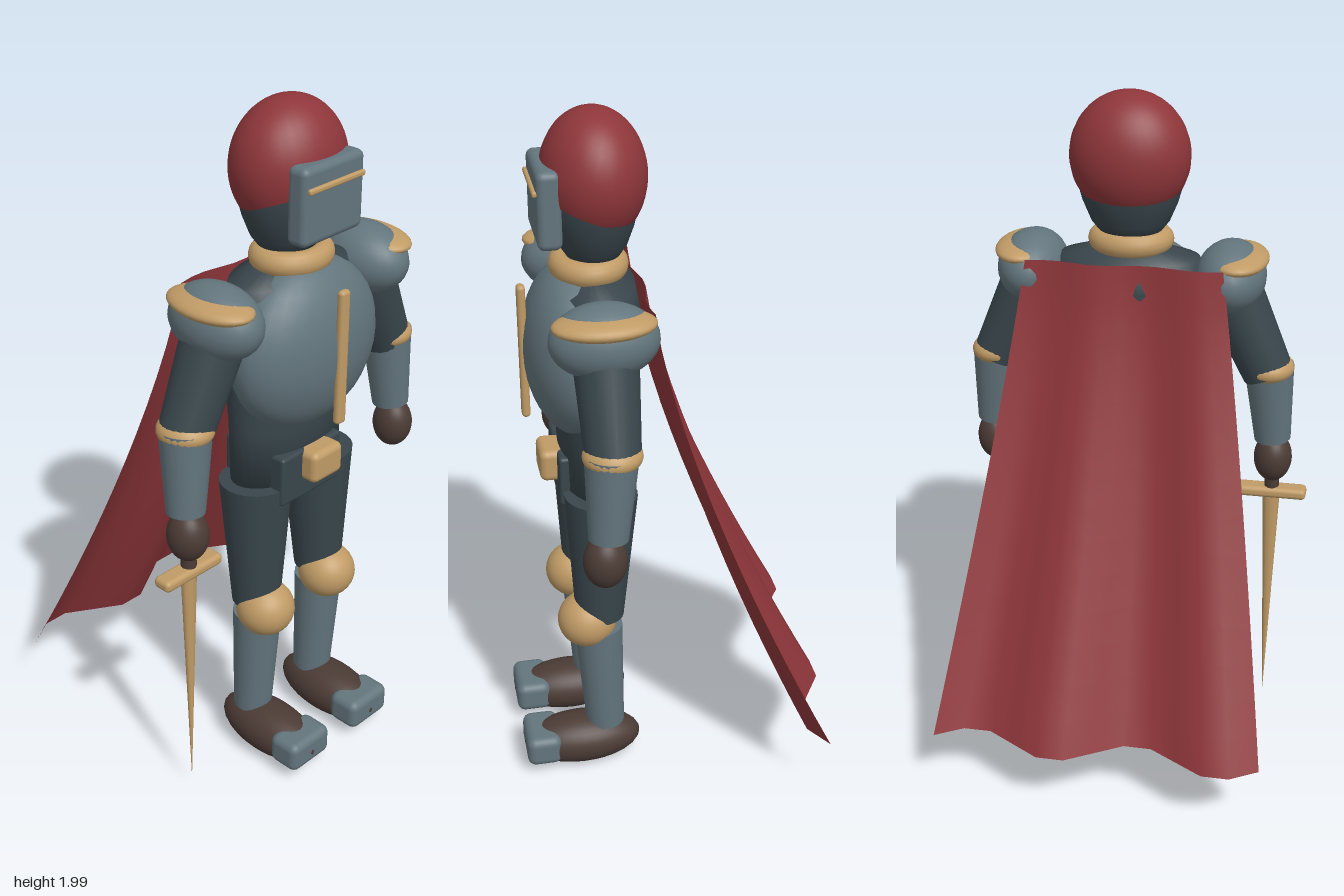
import * as THREE from 'three';
import { RoundedBoxGeometry } from 'three/addons/geometries/RoundedBoxGeometry.js';

const mat = (name, color, side = THREE.FrontSide) => {
  const m = new THREE.MeshStandardMaterial({ color, side });
  m.name = name;
  return m;
};

const CX = 0.0225; // body centre line
const CZ = 0.2;

export function createModel() {
  const steel = mat('steel', 0x63757d);
  const dark = mat('darkSteel', 0x39464c);
  const gold = mat('gold', 0xc09b66);
  const leather = mat('leather', 0x4b3b35);
  const red = mat('redCloth', 0x8e363a, THREE.DoubleSide);

  const model = new THREE.Group();
  model.name = 'knight';

  const add = (name, geometry, material, x, y, z) => {
    const mesh = new THREE.Mesh(geometry, material);
    mesh.name = name;
    mesh.position.set(x, y, z);
    model.add(mesh);
    return mesh;
  };
  const ball = (name, material, p, r) =>
    add(name, new THREE.SphereGeometry(1, 28, 18).scale(...r), material, ...p);
  const box = (name, material, p, s, radius) =>
    add(name, new RoundedBoxGeometry(...s, 3, radius), material, ...p);
  // Tapered limb running from point a (radius ra) down to point b (radius rb)
  const limb = (name, material, a, b, ra, rb) => {
    const from = new THREE.Vector3(...a), to = new THREE.Vector3(...b);
    const dir = from.clone().sub(to);
    const mid = from.clone().add(to).multiplyScalar(0.5);
    const mesh = add(name, new THREE.CylinderGeometry(ra, rb, dir.length(), 24), material, mid.x, mid.y, mid.z);
    mesh.quaternion.setFromUnitVectors(new THREE.Vector3(0, 1, 0), dir.normalize());
    return mesh;
  };
  const lathe = (name, material, profile, depth, z) =>
    add(name, new THREE.LatheGeometry(profile.map(([r, y]) => new THREE.Vector2(r, y)), 32).scale(1, 1, depth),
      material, CX, 0, z);

  // Torso, hips and chest armour
  lathe('torso', dark, [[0, 0.92], [0.192, 0.92], [0.198, 1.1], [0.215, 1.3], [0.225, 1.45],
    [0.2, 1.53], [0.1, 1.56], [0, 1.56]], 0.56, 0.19);
  box('hips', dark, [CX - 0.018, 0.96, 0.2], [0.24, 0.15, 0.22], 0.01);
  ball('breastplate', steel, [CX, 1.332, 0.25], [0.253, 0.242, 0.138]);
  box('breastplateRidge', gold, [CX, 1.328, 0.385], [0.036, 0.395, 0.024], 0.011);
  box('beltBuckle', gold, [CX, 0.988, 0.315], [0.12, 0.095, 0.085], 0.02);
  add('collar', new THREE.TorusGeometry(0.088, 0.035, 14, 36).rotateX(Math.PI / 2).scale(1, 1, 0.88),
    gold, CX, 1.575, CZ);

  // Head: dark lower helmet under a tilted red dome
  lathe('helmet', dark, [[0, 1.6], [0.085, 1.6], [0.112, 1.635], [0.135, 1.69], [0.152, 1.75], [0.15, 1.8]],
    0.83, 0.187);
  add('helmetDome', new THREE.SphereGeometry(1, 32, 20, 0, Math.PI * 2, 0, Math.PI * 0.66)
    .rotateX(-0.31).scale(0.17, 0.18, 0.143), red, CX, 1.82, 0.182);
  box('visor', steel, [CX, 1.762, 0.312], [0.23, 0.213, 0.066], 0.02);
  box('visorSlit', gold, [CX, 1.81, 0.348], [0.21, 0.016, 0.014], 0.006);

  for (const s of [-1, 1]) {
    const side = s > 0 ? 'left' : 'right';
    const X = (d) => CX + s * d;

    // Arm
    ball(side + 'Pauldron', steel, [X(0.2875), 1.478, 0.205], [0.101, 0.101, 0.146]);
    ball(side + 'PauldronTrim', gold, [X(0.309), 1.53, 0.207], [0.085, 0.032, 0.137]);
    limb(side + 'UpperArm', dark, [X(0.275), 1.47, 0.203], [X(0.403), 1.19, 0.205], 0.09, 0.074);
    ball(side + 'ElbowGuard', gold, [X(0.403), 1.205, 0.207], [0.077, 0.045, 0.08]);
    limb(side + 'Forearm', steel, [X(0.406), 1.21, 0.21], [X(0.424), 0.97, 0.225], 0.073, 0.054);
    ball(side + 'Hand', leather, [X(0.427), 0.902, 0.235], [0.057, 0.077, 0.06]);

    // Leg
    limb(side + 'Thigh', dark, [X(0.127), 0.93, 0.198], [X(0.133), 0.53, 0.21], 0.104, 0.07);
    ball(side + 'KneeGuard', gold, [X(0.133), 0.515, 0.247], [0.085, 0.082, 0.086]);
    limb(side + 'Shin', steel, [X(0.133), 0.49, 0.215], [X(0.133), 0.14, 0.2], 0.071, 0.057);
    ball(side + 'Boot', leather, [X(0.133), 0.085, 0.272], [0.086, 0.076, 0.176]);
    box(side + 'ToeCap', steel, [X(0.133), 0.092, 0.394], [0.16, 0.095, 0.104], 0.025);
  }

  // Sword hanging from the right hand
  const sx = CX - 0.427, sz = 0.236;
  add('swordGrip', new THREE.CylinderGeometry(0.022, 0.022, 0.2, 16), leather, sx, 0.88, sz);
  box('swordGuard', gold, [sx, 0.787, sz], [0.21, 0.034, 0.058], 0.014);
  add('swordBlade', new THREE.ConeGeometry(0.026, 0.74, 12).rotateX(Math.PI).scale(1, 1, 0.7), gold, sx, 0.415, sz);

  // Cape: flares outward and back, with two soft folds growing toward the hem
  const cape = new THREE.PlaneGeometry(1, 1, 12, 14);
  const pos = cape.attributes.position;
  for (let i = 0; i < pos.count; i++) {
    const u = pos.getX(i) + 0.5, t = 0.5 - pos.getY(i);
    const wave = Math.sin(u * Math.PI * 4);
    pos.setXYZ(i,
      CX + (u - 0.5) * 2 * (0.28 + 0.198 * t),
      1.535 - 1.315 * t,
      0.07 - 0.475 * Math.pow(t, 1.38) - wave * (0.01 + 0.046 * t));
  }
  cape.computeVertexNormals();
  add('cape', cape, red, 0, 0, 0);

  return model;
}
